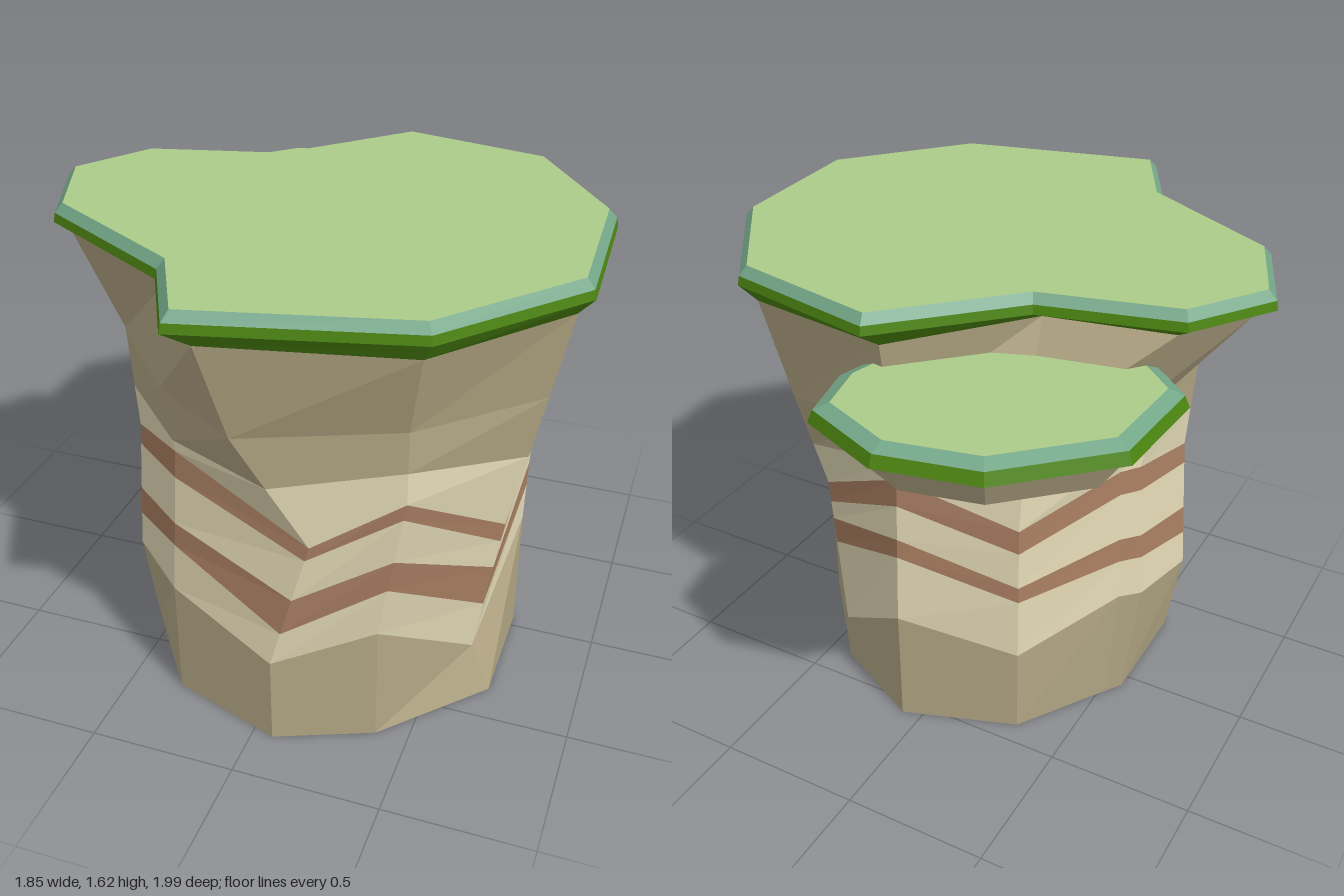
import * as THREE from 'three';

const paint = (color) => new THREE.MeshStandardMaterial({ color, flatShading: true, side: THREE.DoubleSide });
const wood = paint(0xb3a784), paleWood = paint(0xe6dcb8), stripe = paint(0xab8063);
const moss = paint(0xaacb88), rim = paint(0x73a688), edge = paint(0x4c8511);

// Outline columns of the trunk, running from the front towards +x.
// Each has plan points [x, z] at the base, low bend, waist, shoulder and top.
const plan = [
  [[0.07, 0.82], [0.07, 0.82], [0.20, 0.80], [-0.02, 0.86], [-0.09, 0.92]],
  [[0.39, 0.69], [0.39, 0.69], [0.48, 0.72], [0.48, 0.72], [0.53, 0.79]],
  [[0.70, 0.36], [0.63, 0.36], [0.71, 0.36], [0.81, 0.36], [0.87, 0.38]],
  [[0.70, -0.05], [0.70, -0.05], [0.71, -0.06], [0.78, -0.11], [0.86, -0.13]],
  [[0.41, -0.39], [0.41, -0.39], [0.45, -0.39], [0.50, -0.47], [0.56, -0.53]],
  [[0.07, -0.56], [0.07, -0.56], [0.07, -0.53], [0.07, -0.55], [0.06, -0.60]],
  [[-0.32, -0.42], [-0.32, -0.42], [-0.32, -0.42], [-0.33, -0.40], [-0.30, -0.25]],
  [[-0.52, -0.11], [-0.55, -0.11], [-0.53, -0.11], [-0.55, -0.14], [-0.71, -0.17]],
  [[-0.56, -0.05], [-0.61, -0.05], [-0.575, -0.05], [-0.60, 0.0], [-0.86, 0.06]],
  [[-0.56, 0.36], [-0.61, 0.36], [-0.575, 0.36], [-0.60, 0.36], [-0.76, 0.37]],
  [[-0.32, 0.69], [-0.32, 0.69], [-0.28, 0.69], [-0.32, 0.69], [-0.30, 0.64]],
];
// Zigzag heights of each column, from the bark edge up to the shoulder.
const heights = [
  [0.32, 0.45, 0.59, 0.75, 0.80, 1.01, 1.18],
  [0.43, 0.62, 0.74, 0.91, 0.97, 1.08, 1.22],
  [0.18, 0.37, 0.53, 0.64, 0.71, 0.98, 1.20],
  [0.46, 0.60, 0.69, 0.78, 0.93, 1.08, 1.25],
  [0.18, 0.52, 0.62, 0.69, 0.77, 0.94, 1.14],
  [0.43, 0.68, 0.75, 0.88, 0.98, 1.05, 1.20],
  [0.32, 0.55, 0.61, 0.75, 0.84, 1.00, 1.20],
  [0.45, 0.60, 0.69, 0.87, 0.96, 1.05, 1.20],
  [0.45, 0.60, 0.69, 0.87, 0.96, 1.05, 1.20],
  [0.32, 0.45, 0.56, 0.75, 0.83, 0.98, 1.20],
  [0.43, 0.61, 0.70, 0.88, 0.98, 1.02, 1.20],
];
const capOutline = [
  [-0.15, 0.99], [0.56, 0.82], [0.92, 0.40], [0.90, -0.15], [0.60, -0.57], [0.07, -0.68],
  [-0.30, -0.31], [-0.75, -0.20], [-0.93, 0.07], [-0.80, 0.40], [-0.31, 0.68],
];
const shelfOutline = [
  [0.10, -0.35], [0.18, -0.66], [0.13, -0.88], [-0.16, -1.0], [-0.48, -0.93],
  [-0.78, -0.64], [-0.80, -0.27], [-0.70, -0.18], [-0.60, -0.10], [-0.30, -0.20],
];

// Mitred inward offset of an outline.
function inset(points, t) {
  const n = points.length;
  const normal = (a, b) => new THREE.Vector2(b[1] - a[1], a[0] - b[0]).normalize();
  return points.map((p, i) => {
    const u = normal(points[(i + n - 1) % n], p), v = normal(p, points[(i + 1) % n]);
    const k = t / (1 + u.dot(v));
    return [p[0] + (u.x + v.x) * k, p[1] + (u.y + v.y) * k];
  });
}
const ringAt = (points, y) => points.map(([x, z]) => [x, y, z]);

// Band of faces between two closed rings.
function band(name, low, high, material) {
  const pos = [];
  low.forEach((a, i) => {
    const j = (i + 1) % low.length;
    pos.push(...a, ...low[j], ...high[j], ...a, ...high[j], ...high[i]);
  });
  const geo = new THREE.BufferGeometry();
  geo.setAttribute('position', new THREE.Float32BufferAttribute(pos, 3));
  geo.computeVertexNormals();
  const mesh = new THREE.Mesh(geo, material);
  mesh.name = name;
  return mesh;
}

// Flat lid facing up (1) or down (-1).
function lid(name, points, y, up, material) {
  const shape = new THREE.Shape(points.map(([x, z]) => new THREE.Vector2(x, -up * z)));
  const mesh = new THREE.Mesh(new THREE.ShapeGeometry(shape).rotateX(-up * Math.PI / 2).translate(0, y, 0), material);
  mesh.name = name;
  return mesh;
}

// One trunk column as nine points; in-between levels follow straight lines.
function column(keys, ys, i) {
  const levels = [0, ...ys, i > 5 ? 1.53 : 1.5];
  const keyLevels = [0, 1, 5, 7, 8];
  return levels.map((y, l) => {
    const k = Math.max(1, keyLevels.findIndex((q) => q >= l));
    const y0 = levels[keyLevels[k - 1]], y1 = levels[keyLevels[k]];
    const t = (y - y0) / (y1 - y0), a = keys[k - 1], b = keys[k];
    return [a[0] + (b[0] - a[0]) * t, y, a[1] + (b[1] - a[1]) * t];
  });
}

export function createModel() {
  const model = new THREE.Group();
  model.name = 'treeStump';

  // Trunk with two zigzag stripes
  const trunk = new THREE.Group();
  trunk.name = 'trunk';
  const columns = plan.map((keys, i) => column(keys, heights[i], i));
  const rings = columns[0].map((_, l) => columns.map((c) => c[l]));
  const layers = [
    ['lowerBark', wood], ['lowerPaleWood', paleWood], ['lowerStripe', stripe], ['middlePaleWood', paleWood],
    ['upperStripe', stripe], ['upperPaleWood', paleWood], ['upperBark', wood], ['flaredBark', wood],
  ];
  layers.forEach(([name, material], l) => trunk.add(band(name, rings[l], rings[l + 1], material)));
  trunk.add(lid('trunkBase', plan.map((keys) => keys[0]), 0, -1, wood));

  // Mossy top
  const cap = new THREE.Group();
  cap.name = 'mossCap';
  const capWide = ringAt(capOutline, 1.56);
  const capUpper = ringAt(inset(capOutline, 0.006), 1.59);
  const capTop = inset(capOutline, 0.032);
  cap.add(
    band('capUnderside', rings[8], capWide, edge),
    band('capEdge', capWide, capUpper, edge),
    band('capRim', capUpper, ringAt(capTop, 1.62), rim),
    lid('capTop', capTop, 1.62, 1, moss),
  );

  // Side shelf at the back
  const shelf = new THREE.Group();
  shelf.name = 'sideShelf';
  const shelfBase = inset(shelfOutline, 0.12);
  const shelfNeck = ringAt(inset(shelfOutline, 0.06), 1.35);
  const shelfWide = ringAt(shelfOutline, 1.36);
  const shelfUpper = ringAt(inset(shelfOutline, 0.015), 1.4);
  const shelfTop = inset(shelfOutline, 0.06);
  shelf.add(
    lid('shelfBase', shelfBase, 1.22, -1, wood),
    band('shelfBark', ringAt(shelfBase, 1.22), shelfNeck, wood),
    band('shelfUnderside', shelfNeck, shelfWide, edge),
    band('shelfEdge', shelfWide, shelfUpper, edge),
    band('shelfRim', shelfUpper, ringAt(shelfTop, 1.42), rim),
    lid('shelfTop', shelfTop, 1.42, 1, moss),
  );

  model.add(trunk, cap, shelf);
  return model;
}
